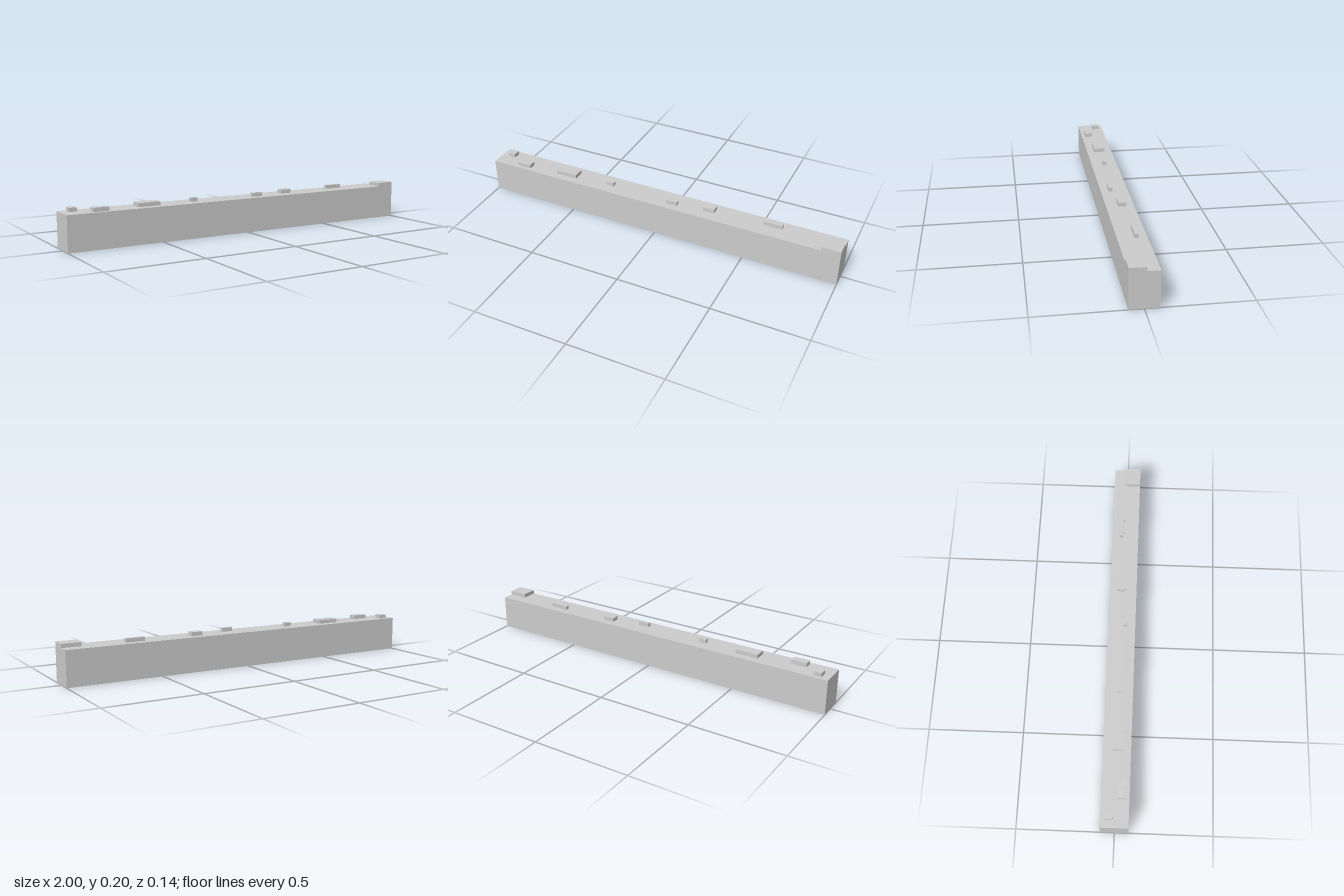
import * as THREE from 'three';

// The model sits on a block grid: 99 long, 10 high, 7 deep.
const UNIT = 2 / 99;
const BEAM_HEIGHT = 9;

export function createModel() {
  const group = new THREE.Group();
  group.name = 'beam';
  const material = new THREE.MeshStandardMaterial({ color: 0xcccccc, flatShading: true });

  // Box given by its edges in grid units
  const addBlock = (name, x0, x1, y0, y1, z0, z1) => {
    const geometry = new THREE.BoxGeometry((x1 - x0) * UNIT, (y1 - y0) * UNIT, (z1 - z0) * UNIT);
    const mesh = new THREE.Mesh(geometry, material);
    mesh.name = name;
    mesh.position.set((x0 + x1) / 2, (y0 + y1) / 2, (z0 + z1) / 2).multiplyScalar(UNIT);
    group.add(mesh);
  };

  // Long main bar
  addBlock('mainBar', -49.5, 49.5, 0, BEAM_HEIGHT, -3.5, 3.5);

  // Raised patches on the top: x0, x1, z0, z1
  const patches = [
    [-47.5, -45.5, -2.5, -0.5],
    [-42.5, -38.5, 0.5, 2.5],
    [-30.5, -24.5, -1.5, 1.5],
    [-15.5, -13.5, -0.5, 0.5],
    [2.5, 5.5, 0.5, 1.5],
    [12.5, 15.5, -1.5, 0.5],
    [28.5, 33.5, -1.5, -0.5],
  ];
  patches.forEach(([x0, x1, z0, z1], i) =>
    addBlock(`raisedPatch${i + 1}`, x0, x1, BEAM_HEIGHT, BEAM_HEIGHT + 1, z0, z1));

  // Corner patch, flush with the end and the front
  addBlock('cornerPatch', 44.5, 49.5, BEAM_HEIGHT, BEAM_HEIGHT + 1, -0.5, 3.5);

  return group;
}
